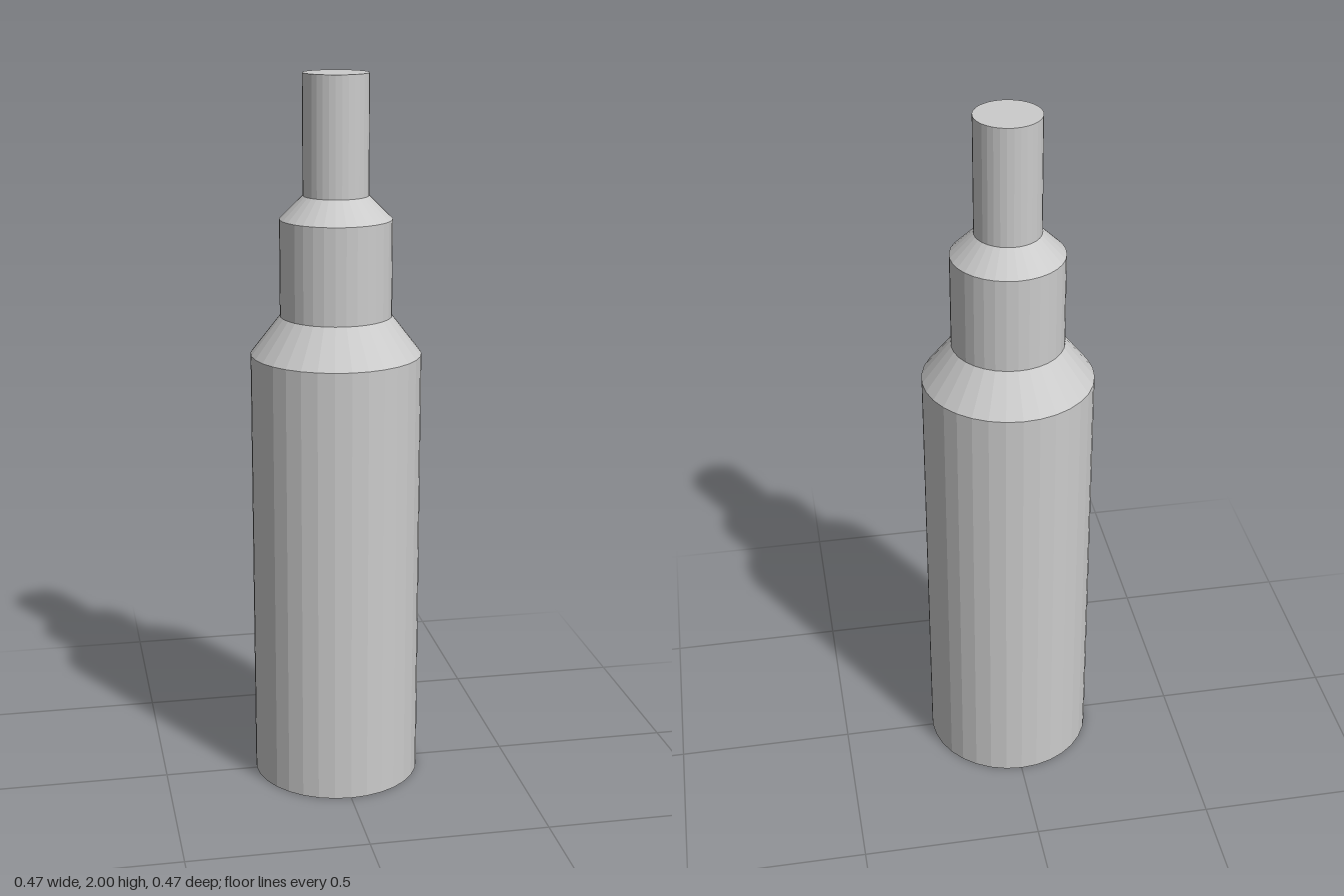
import * as THREE from 'three';

const SIDES = 32;

export function createModel() {
  const model = new THREE.Group();
  model.name = 'steppedBottle';
  const material = new THREE.MeshStandardMaterial({ color: 0xcccccc, flatShading: true });

  // Stacked rings from the base up: [name, bottom radius, top radius, bottom y, top y]
  const sections = [
    ['body', 0.236, 0.236, 0, 1.24],
    ['lowerShoulder', 0.236, 0.154, 1.24, 1.346],
    ['neck', 0.154, 0.154, 1.346, 1.612],
    ['upperShoulder', 0.154, 0.09, 1.612, 1.675],
    ['tip', 0.09, 0.09, 1.675, 2],
  ];
  for (const [name, bottom, top, y0, y1] of sections) {
    const geometry = new THREE.CylinderGeometry(top, bottom, y1 - y0, SIDES, 1, true);
    geometry.translate(0, (y0 + y1) / 2, 0);
    const mesh = new THREE.Mesh(geometry, material);
    mesh.name = name;
    model.add(mesh);
  }

  // Flat discs closing the two ends, with corners matching the rings
  const addCap = (name, radius, y, tilt) => {
    const mesh = new THREE.Mesh(new THREE.CircleGeometry(radius, SIDES).rotateX(tilt), material);
    mesh.position.y = y;
    mesh.name = name;
    model.add(mesh);
  };
  addCap('base', 0.236, 0, Math.PI / 2);
  addCap('tipCap', 0.09, 2, -Math.PI / 2);

  return model;
}
